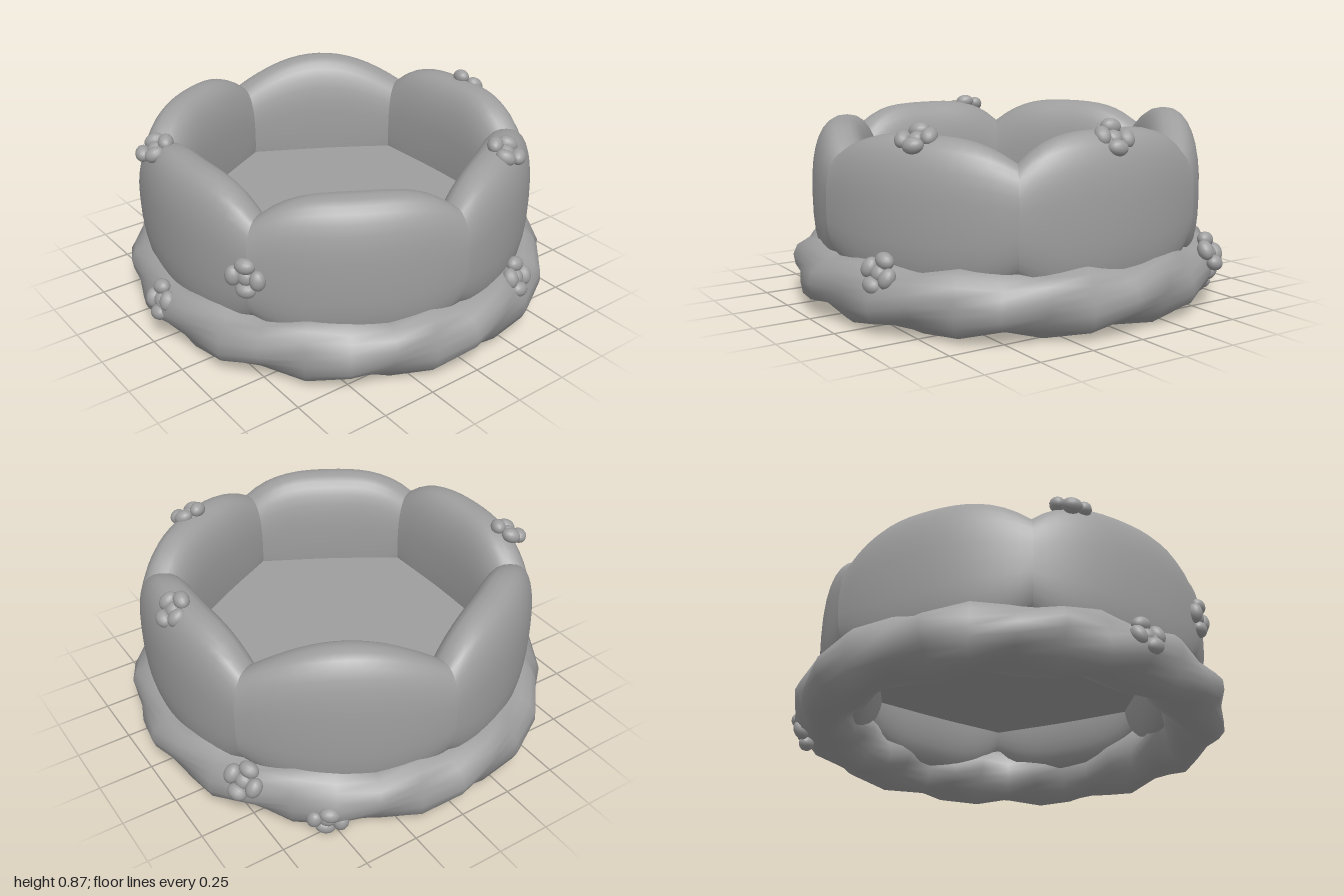
import * as THREE from 'three';

const material = new THREE.MeshStandardMaterial({ color: 0x9e9e9e });

// Tube-like surface: u runs along the sweep, v around the closed section.
function sweep(nu, nv, point, closed) {
  const positions = [], index = [];
  const rows = closed ? nu : nu + 1;
  for (let i = 0; i < rows; i++)
    for (let j = 0; j < nv; j++) positions.push(...point(i / nu, (j / nv) * Math.PI * 2));
  for (let i = 0; i < nu; i++) {
    for (let j = 0; j < nv; j++) {
      const i2 = (i + 1) % rows, j2 = (j + 1) % nv;
      const a = i * nv + j, b = i2 * nv + j, c = i2 * nv + j2, d = i * nv + j2;
      index.push(a, b, c, a, c, d);
    }
  }
  const geometry = new THREE.BufferGeometry();
  geometry.setAttribute('position', new THREE.Float32BufferAttribute(positions, 3));
  geometry.setIndex(index);
  geometry.computeVertexNormals();
  return geometry;
}

const power = (value, e) => Math.sign(value) * Math.abs(value) ** e;

// One padded wall section: flat inside, rounded outside, lower at both ends.
function cushionGeometry(centre, top, falloff) {
  return sweep(16, 32, (u, v) => {
    const t = Math.abs(u * 2 - 1);
    const phi = ((u * 2 - 1) * Math.PI) / 6;
    const inner = 0.6 / Math.cos(phi) + 0.012 * (1 - t * t);
    const outer = 0.89 + 0.02 * t * t;
    const halfHeight = THREE.MathUtils.lerp(top - 0.48, 0.23, t ** falloff);
    const r = (inner + outer) / 2 + ((outer - inner) / 2) * power(Math.cos(v), 0.8);
    const y = 0.48 + halfHeight * power(Math.sin(v), 0.8);
    return [r * Math.sin(centre + phi), y, r * Math.cos(centre + phi)];
  }, false);
}

// Coarse three-lobed ring, slightly narrower in x, twisting four times round.
function twistedRingGeometry() {
  return sweep(32, 20, (u, v) => {
    const theta = u * Math.PI * 2;
    const radius = 0.135 + 0.019 * Math.cos(3 * (v - 4 * theta));
    const r = 0.846 + radius * Math.cos(v);
    return [0.98 * r * Math.sin(theta), 0.157 + radius * Math.sin(v), r * Math.cos(theta)];
  }, true);
}

// Four oval petals around a small centre, facing along local z.
const petalGeometry = new THREE.SphereGeometry(1, 14, 10);
function flower(position, normal, roll) {
  const group = new THREE.Group();
  group.name = 'flower';
  for (let i = 0; i < 4; i++) {
    const angle = roll + (i * Math.PI) / 2;
    const petal = new THREE.Mesh(petalGeometry, material);
    petal.name = 'flowerPetal';
    petal.scale.set(0.035, 0.045, 0.034);
    petal.position.set(0.056 * Math.cos(angle), 0.056 * Math.sin(angle), 0);
    petal.rotation.z = angle;
    group.add(petal);
  }
  const heart = new THREE.Mesh(petalGeometry, material);
  heart.name = 'flowerCentre';
  heart.scale.set(0.034, 0.034, 0.024);
  group.add(heart);
  group.position.set(...position);
  group.lookAt(new THREE.Vector3(...position).add(new THREE.Vector3(...normal)));
  return group;
}

export function createModel() {
  const model = new THREE.Group();
  model.name = 'cushionedBasket';
  const add = (name, geometry) => {
    const mesh = new THREE.Mesh(geometry, material);
    mesh.name = name;
    model.add(mesh);
    return mesh;
  };

  // Six wall cushions, starting at front left and going round: top, end falloff
  [[0.81, 3], [0.83, 3.5], [0.85, 2], [0.83, 3], [0.825, 3.5], [0.815, 3.5]].forEach(
    ([top, falloff], i) =>
      add('wallCushion', cushionGeometry(((i + 0.5) * Math.PI) / 3, top, falloff)));

  // Six-sided floor panel and twisted base ring
  add('floor', new THREE.CylinderGeometry(0.76, 0.76, 0.02, 6)).position.y = 0.37;
  add('twistedBaseRing', twistedRingGeometry());

  // Flowers scattered on the wall and ring: position, facing, roll
  const flowers = [
    [[0.4, 0.8, 0.69], [0.2, 0.85, 0.4], 0.3],
    [[0.36, 0.26, 0.85], [0.3, 0.4, 0.85], -0.3],
    [[-0.79, 0.48, 0.45], [-0.87, 0, 0.5], 0],
    [[0.81, 0.8, 0.01], [0.7, 0.7, 0], -0.2],
    [[-0.79, 0.79, -0.26], [-0.45, 0.88, -0.1], -0.3],
    [[0.81, 0.26, -0.54], [0.75, 0.5, -0.5], -0.3],
    [[-0.945, 0.2, -0.01], [-0.92, 0.35, 0], 0.3],
    [[0.55, 0.09, -0.78], [0.55, -0.35, -0.77], -0.2],
  ];
  flowers.forEach((spec) => model.add(flower(...spec)));

  return model;
}
